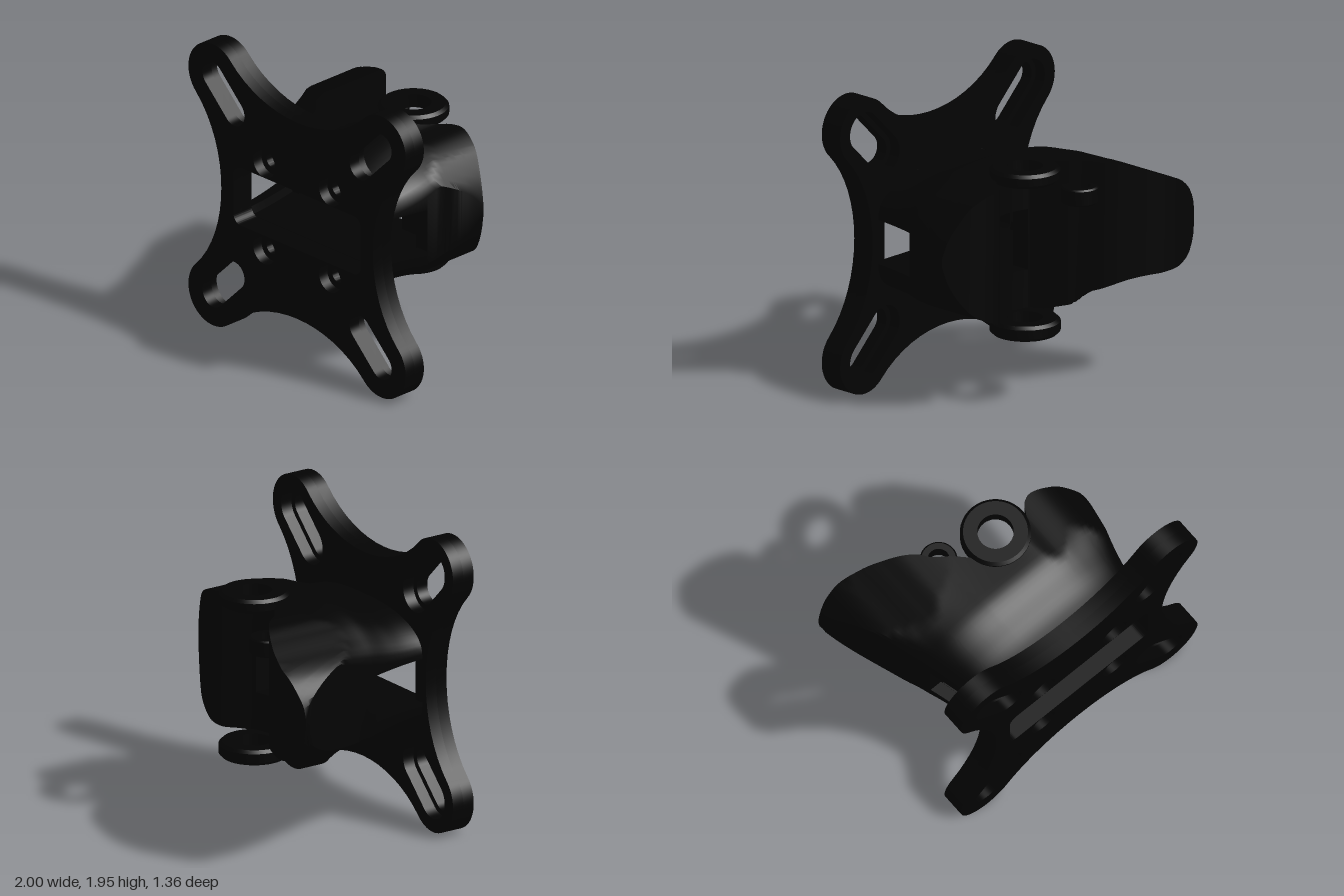
import * as THREE from 'three';
import { mergeGeometries, toCreasedNormals } from 'three/addons/utils/BufferGeometryUtils.js';

const CX = 0.022, CY = 0.976; // plate centre
const lerp = THREE.MathUtils.lerp;

// Smooth monotone lookup in rows [key, value, value2...]; keys ascending.
function look(rows, k, col = 1) {
  const n = rows.length - 1;
  if (k <= rows[0][0]) return rows[0][col];
  if (k >= rows[n][0]) return rows[n][col];
  const i = rows.findIndex(r => k <= r[0]) - 1;
  const rise = j => (rows[j + 1][col] - rows[j][col]) / (rows[j + 1][0] - rows[j][0]);
  const slope = j => {
    if (j === 0) return rise(0);
    if (j === n) return rise(n - 1);
    const a = rise(j - 1), b = rise(j);
    return a * b <= 0 ? 0 : 2 * a * b / (a + b);
  };
  const w = rows[i + 1][0] - rows[i][0], t = (k - rows[i][0]) / w, s = t * t * (3 - 2 * t);
  return lerp(rows[i][col], rows[i + 1][col], s) + w * t * (1 - t) * ((1 - t) * slope(i) - t * slope(i + 1));
}

// Rear edge of the body seen from above: [u, x, z]
const REAR = [
  [0, -1, -0.65], [0.03, -0.92, -0.675], [0.06, -0.83, -0.682], [0.13, -0.68, -0.65], [0.22, -0.5, -0.57],
  [0.3, -0.34, -0.46], [0.335, -0.29, -0.39], [0.37, -0.2, -0.32], [0.41, -0.1, -0.22],
  [0.465, -0.03, -0.13], [0.58, 0.12, -0.1], [0.7, 0.27, -0.13], [0.76, 0.35, -0.22],
  [0.8, 0.4, -0.3], [0.85, 0.47, -0.33], [0.92, 0.62, -0.29], [1, 0.81, -0.19],
];
// Upper and lower limits along x (wing outline), then along z (side outline)
const WING = [
  [-1, 1.06, 1.0], [-0.99, 1.12, 0.92], [-0.97, 1.17, 0.87], [-0.93, 1.23, 0.81], [-0.87, 1.29, 0.76],
  [-0.8, 1.33, 0.735], [-0.7, 1.37, 0.72], [-0.55, 1.43, 0.67], [-0.4, 1.48, 0.61], [-0.2, 1.5, 0.55], [0, 1.5, 0.52],
  [0.22, 1.5, 0.52], [0.36, 1.46, 0.54], [0.5, 1.44, 0.59], [0.63, 1.38, 0.66], [0.72, 1.27, 0.77], [0.78, 1.16, 0.89],
  [0.81, 1.06, 1.0],
];
const SIDE = [
  [-0.68, 1.33, 0.72], [-0.64, 1.41, 0.72], [-0.57, 1.46, 0.705], [-0.48, 1.49, 0.66], [-0.36, 1.5, 0.61],
  [-0.32, 1.5, 0.53], [0.05, 1.5, 0.52], [0.25, 1.44, 0.55], [0.4, 1.395, 0.56], [0.52, 1.38, 0.57],
];

const V0 = 0.3, V1 = 0.5; // depth stations at z = 0.2 and z = 0
// Point on the body's plan: u runs left to right, v front to rear
function plan(u, v) {
  const zb = look(REAR, u, 2);
  const z = v < V0 ? lerp(0.52, 0.2, v / V0) : v < V1 ? lerp(0.2, 0, (v - V0) / (V1 - V0)) : lerp(0, zb, (v - V1) / (1 - V1));
  const t = (0.52 - z) / (0.52 - zb);
  return [lerp(lerp(-0.62, 0.65, u), look(REAR, u), Math.pow(t, 1.4)), z, t];
}
// Upper and lower skin: rounded across near the plate, wing outlines at the rear
function limits(x, z, u, t) {
  const round = Math.sqrt(1 - Math.pow(Math.abs(2 * u - 1), 2.6));
  const skin = (col, edge) => {
    const s = look(SIDE, z, col);
    return lerp(lerp(edge, s, round), s, t * t);
  };
  return [Math.max(look(WING, x, 2), skin(2, 0.8)), Math.min(look(WING, x), skin(1, 1.15))];
}

const US = [...new Set([...Array.from({ length: 81 }, (_, i) => i / 80), ...REAR.map(r => r[0]), 0.005, 0.05, 0.94, 0.95])]
  .sort((a, b) => a - b);
const VS = Array.from({ length: 31 }, (_, i) => i / 30);

// Closed block over part of the plan between two height functions
function block(u0, u1, v0, v1, lo, hi) {
  const E = 1e-6, pos = [];
  const us = US.filter(u => u >= u0 - E && u <= u1 + E), vs = VS.filter(v => v >= v0 - E && v <= v1 + E);
  const at = (f) => us.map(u => vs.map(v => {
    const [x, z, t] = plan(u, v);
    return [x, THREE.MathUtils.clamp(f(u), ...limits(x, z, u, t)), z];
  }));
  const L = at(lo), H = at(hi), m = us.length - 1, n = vs.length - 1;
  const quad = (a, b, c, d) => pos.push(...a, ...b, ...c, ...a, ...c, ...d);
  for (let i = 0; i < m; i++) {
    for (let j = 0; j < n; j++) {
      quad(H[i][j], H[i + 1][j], H[i + 1][j + 1], H[i][j + 1]);
      quad(L[i][j + 1], L[i + 1][j + 1], L[i + 1][j], L[i][j]);
    }
    quad(L[i][0], L[i + 1][0], H[i + 1][0], H[i][0]);
    quad(L[i + 1][n], L[i][n], H[i][n], H[i + 1][n]);
  }
  for (let j = 0; j < n; j++) {
    quad(L[0][j + 1], L[0][j], H[0][j], H[0][j + 1]);
    quad(L[m][j], L[m][j + 1], H[m][j + 1], H[m][j]);
  }
  const g = new THREE.BufferGeometry();
  g.setAttribute('position', new THREE.Float32BufferAttribute(pos, 3));
  g.computeVertexNormals();
  return g;
}

// Four-armed plate outline with slots, central opening and screw holes
function plateShape(slotR) {
  const s = new THREE.Shape(), c = 0.755, k = c + 0.22 * Math.SQRT1_2;
  const rot = (x, y, q) => q === 0 ? [x, y] : q === 1 ? [-y, x] : q === 2 ? [-x, -y] : [y, -x];
  s.moveTo(k, c - 0.22 * Math.SQRT1_2);
  for (let q = 0; q < 4; q++) {
    const a = q * Math.PI / 2;
    s.absarc(...rot(c, c, q), 0.22, a - Math.PI / 4, a + Math.PI * 3 / 4, false);
    s.bezierCurveTo(...rot(0.29, 0.603, q), ...rot(-0.29, 0.603, q), ...rot(-0.6, k, q));
    const slot = new THREE.Path();
    slot.absarc(...rot(c, c, q), slotR, a - Math.PI / 4, a + Math.PI * 3 / 4, false);
    slot.absarc(...rot(0.565, 0.565, q), slotR, a + Math.PI * 3 / 4, a + Math.PI * 7 / 4, false);
    s.holes.push(slot);
  }
  const o = new THREE.Path(), w = 0.57, h = 0.2, r = 0.06;
  o.absarc(w - r, h - r, r, 0, Math.PI / 2);
  o.absarc(r - w, h - r, r, Math.PI / 2, Math.PI);
  o.absarc(r - w, r - h, r, Math.PI, Math.PI * 1.5);
  o.absarc(w - r, r - h, r, Math.PI * 1.5, Math.PI * 2);
  s.holes.push(o);
  for (const x of [-0.295, 0.295]) for (const y of [-0.3, 0.3]) {
    s.holes.push(new THREE.Path().absarc(x, y, 0.098, 0, Math.PI * 2));
  }
  return s;
}

// Ring about the y axis with chamfered outer edges
function ring(ri, ro, h, c) {
  const p = [[ri, 0], [ro - c, 0], [ro, c], [ro, h - c], [ro - c, h], [ri, h], [ri, 0]];
  return toCreasedNormals(new THREE.LatheGeometry(p.map(a => new THREE.Vector2(...a)), 40), 0.6);
}

export function createModel() {
  const model = new THREE.Group();
  model.name = 'wallMountHead';
  const mat = new THREE.MeshStandardMaterial({ color: 0x030303 });
  const add = (name, geo, x = 0, y = 0, z = 0) => {
    const m = new THREE.Mesh(geo, mat);
    m.name = name;
    m.position.set(x, y, z);
    model.add(m);
    return m;
  };

  // Plate: front layer, and rear layer with wider slot recesses
  for (const [name, r, z] of [['plateFront', 0.093, 0.6], ['plateBack', 0.13, 0.52]]) {
    const g = new THREE.ExtrudeGeometry(plateShape(r), { depth: 0.08, bevelEnabled: false, curveSegments: 16 });
    add(name, toCreasedNormals(g, 0.6), CX, CY, z);
  }

  // Sunken seats in the screw holes
  for (const x of [-0.295, 0.295]) for (const y of [-0.3, 0.3]) {
    add('screwSeat', ring(0.05, 0.1, 0.08, 0.005), CX + x, CY + y, 0.53).rotation.x = Math.PI / 2;
  }

  // Body: hollow regions get an upper and a lower slab, the rest is solid
  const cavity = u => u > 0.055 && u < 0.945;
  const up = u => cavity(u) ? 1.18 : 1.12;
  const down = u => cavity(u) ? 0.78 : 0.83;
  const hi = () => 9, lo = () => -9;
  const hollow = [[0, 1, 0, V0], [0, 0.1, V0, 0.4], [0.1, 0.465, V0, V1], [0.465, 0.7, V0, 1], [0.7, 0.94, V0, V1]];
  const solid = [[0, 0.1, 0.4, 1], [0.1, 0.465, V1, 1], [0.7, 0.94, V1, 1], [0.94, 1, V0, 1]];
  const body = mergeGeometries([
    ...hollow.flatMap(r => [block(...r, up, hi), block(...r, lo, down)]),
    ...solid.map(r => block(...r, lo, hi)),
  ]);
  add('body', toCreasedNormals(body, 0.6));

  // Hinge rings and small pin boss at the rear
  add('upperHingeRing', ring(0.115, 0.225, 0.09, 0.02), 0.12, 1.44, -0.25);
  add('lowerHingeRing', ring(0.115, 0.225, 0.1, 0.02), 0.12, 0.43, -0.25);
  add('pinBoss', ring(0.07, 0.12, 0.11, 0.01), -0.23, 1.24, -0.39);

  return model;
}
